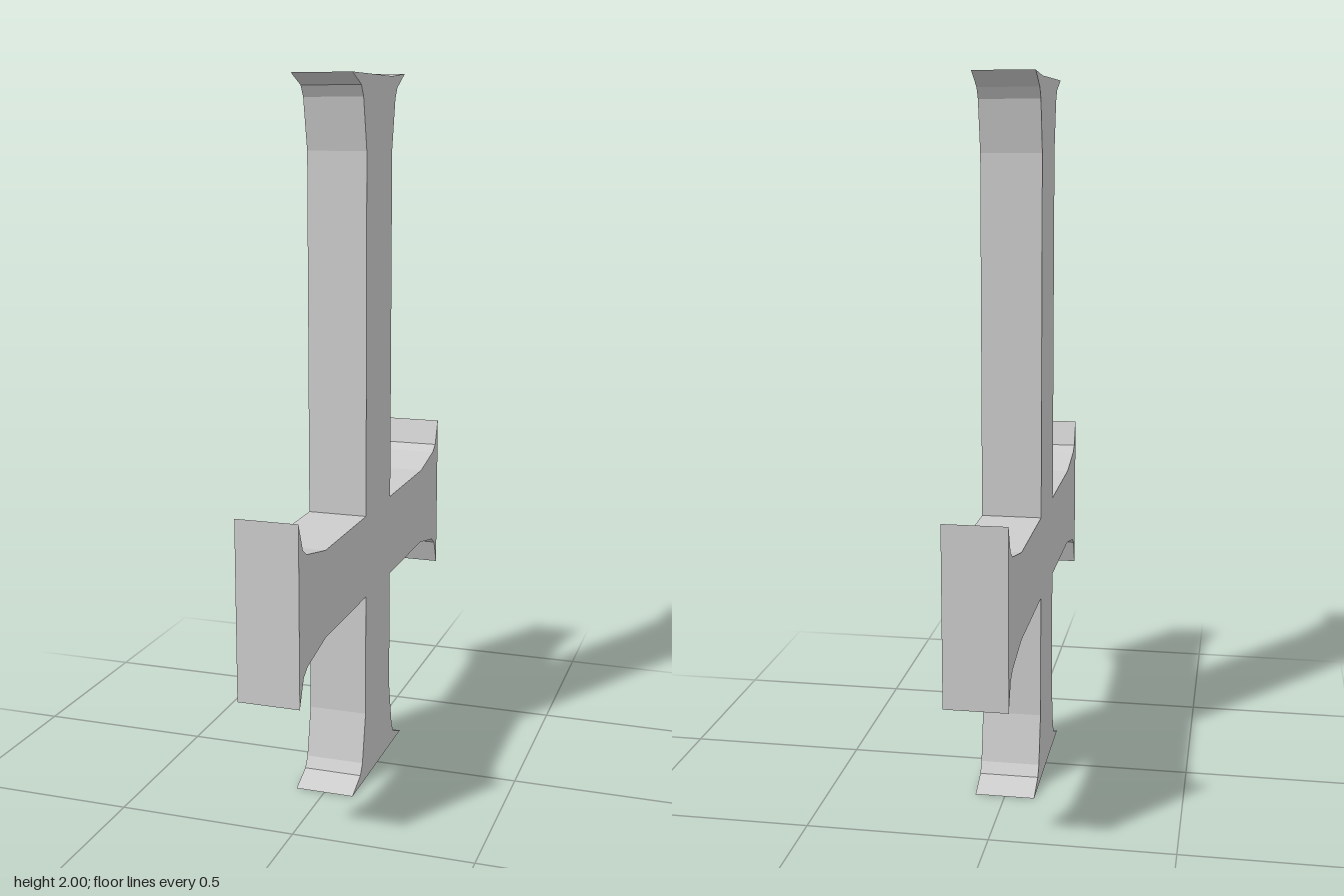
import * as THREE from 'three';

export function createModel() {
  const group = new THREE.Group();
  const stone = new THREE.MeshStandardMaterial({ color: 0xcccccc });
  stone.name = 'pale grey';

  const half = 0.118, centreY = 0.67, depth = 0.168;
  // flared arm end: [distance back from the tip, half width]
  const flare = [[0.2, half], [0.06, 0.147], [0.03, 0.166], [0, 0.24]];
  // arms anticlockwise: front, top, back, bottom; lift raises one corner of the top
  const arms = [
    { length: 0.663, angle: 0, lift: 0 },
    { length: 1.32, angle: Math.PI / 2, lift: 0.01 },
    { length: 0.663, angle: Math.PI, lift: 0 },
    { length: 0.67, angle: -Math.PI / 2, lift: 0 },
  ];

  const points = [];
  for (const { length, angle, lift } of arms) {
    const add = (along, across) => points.push(
      new THREE.Vector2(along, across).rotateAround(new THREE.Vector2(), angle)
        .add(new THREE.Vector2(0, centreY)));
    for (const [back, w] of flare) add(length - back, -w);
    if (lift) add(length, half);
    for (const [back, w] of [...flare].reverse()) add(length - back + (back ? 0 : lift), w);
    add(half, half); // inner corner shared with the next arm
  }

  // outline lies in the z-y plane, thickness runs along x
  const geometry = new THREE.ExtrudeGeometry(new THREE.Shape(points), { depth, bevelEnabled: false });
  geometry.translate(0, 0, -depth / 2);
  geometry.rotateY(-Math.PI / 2);

  const cross = new THREE.Mesh(geometry, stone);
  cross.name = 'flaredCross';
  group.add(cross);
  return group;
}
